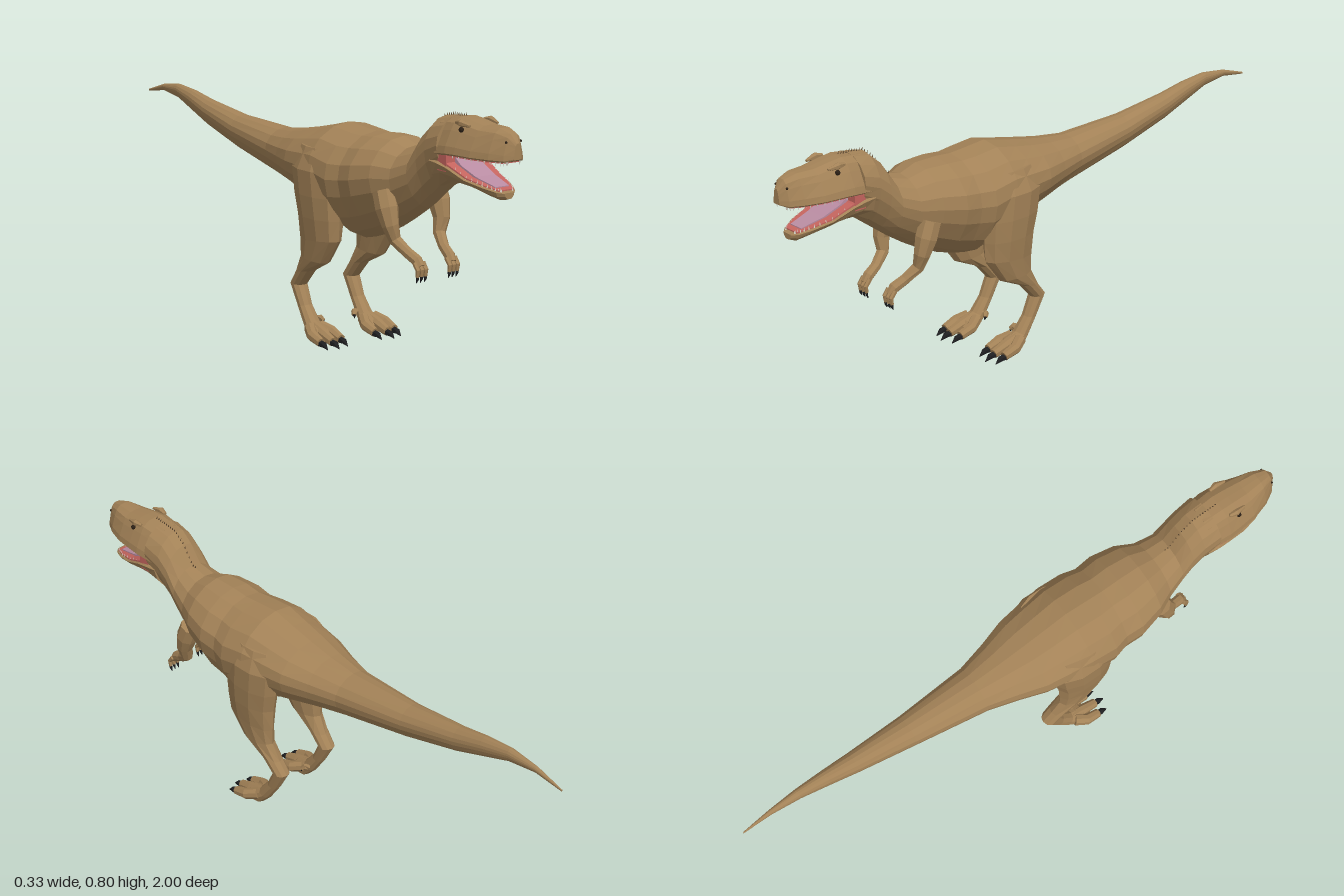
import * as THREE from 'three';

const mat = (name, color) => {
  const m = new THREE.MeshStandardMaterial({ color, flatShading: true });
  m.name = name;
  return m;
};

// Skin a list of equal-length rings, with caps; faces are turned outward by signed volume.
function loft(rings) {
  const tris = [], n = rings[0].length;
  for (let i = 0; i < rings.length - 1; i++)
    for (let j = 0; j < n; j++) {
      const k = (j + 1) % n, a = rings[i], b = rings[i + 1];
      tris.push([a[j], a[k], b[k]], [a[j], b[k], b[j]]);
    }
  const cap = (ring, flip) => {
    const c = ring.reduce((s, p) => s.add(p), new THREE.Vector3()).divideScalar(n);
    ring.forEach((p, j) => {
      const q = ring[(j + 1) % n];
      tris.push(flip ? [c, q, p] : [c, p, q]);
    });
  };
  cap(rings[0], true);
  cap(rings[rings.length - 1], false);
  let volume = 0;
  const o = rings[0][0], d = (p) => p.clone().sub(o);
  tris.forEach(([a, b, c]) => { volume += d(a).dot(d(b).cross(d(c))); });
  const pos = [];
  tris.forEach(([a, b, c]) => (volume < 0 ? [a, c, b] : [a, b, c]).forEach((p) => pos.push(p.x, p.y, p.z)));
  const g = new THREE.BufferGeometry();
  g.setAttribute('position', new THREE.Float32BufferAttribute(pos, 3));
  g.computeVertexNormals();
  return g;
}

// Symmetric rings along z: half profile (top to bottom, unit size) scaled by [z, top, bottom, halfWidth].
function sections(profile, list) {
  const outline = [...profile, ...profile.slice(1, -1).reverse().map(([x, y]) => [-x, y])];
  return loft(list.map(([z, top, bot, w]) =>
    outline.map(([x, y]) => new THREE.Vector3(x * w, bot + (top - bot) * y, z))));
}

// Limb along a path of [x, y, z, radius].
function limb(path, sides = 8) {
  const pts = path.map((p) => new THREE.Vector3(p[0], p[1], p[2]));
  return loft(pts.map((p, i) => {
    const t = pts[Math.min(i + 1, pts.length - 1)].clone().sub(pts[Math.max(i - 1, 0)]).normalize();
    const v = t.clone().cross(new THREE.Vector3(1, 0, 0)).normalize();
    const u = v.clone().cross(t);
    return Array.from({ length: sides }, (_, k) => {
      const a = ((k + 0.5) / sides) * Math.PI * 2;
      return p.clone().addScaledVector(u, Math.cos(a) * path[i][3]).addScaledVector(v, Math.sin(a) * path[i][3]);
    });
  }));
}

// Linear lookup in a section list: column c at position z.
function lookup(list, z, c) {
  let i = 0;
  while (i < list.length - 2 && list[i + 1][0] < z) i++;
  const a = list[i], b = list[i + 1];
  return a[c] + (b[c] - a[c]) * (z - a[0]) / (b[0] - a[0]);
}

export function createModel() {
  const model = new THREE.Group();
  const hide = mat('brown hide', 0xa38257), red = mat('mouth red', 0xc4645e), pink = mat('tongue mauve', 0xb98ca2);
  const black = mat('claw black', 0x1e1e20), ivory = mat('tooth ivory', 0xd6d2c6), dark = mat('eye dark', 0x2b2016);
  const spineMat = mat('spine brown', 0x5a4630);
  const add = (name, geometry, material, parent = model) => {
    const m = new THREE.Mesh(geometry, material);
    m.name = name;
    parent.add(m);
    return m;
  };

  // Tail, torso and neck
  const body = [
    [-1, .655, .648, .002], [-.9, .685, .662, .008], [-.8, .697, .648, .016], [-.7, .687, .612, .025],
    [-.6, .668, .577, .034], [-.4, .642, .525, .052], [-.15, .633, .475, .08], [-.05, .645, .455, .108],
    [.04, .662, .435, .138], [.12, .68, .41, .15], [.2, .7, .375, .16], [.29, .693, .345, .162],
    [.34, .69, .357, .148], [.4, .695, .377, .153], [.48, .695, .415, .135], [.54, .675, .45, .105],
    [.6, .69, .49, .088], [.64, .75, .52, .084], [.68, .785, .55, .084], [.74, .794, .595, .087],
  ];
  add('body', sections([[0, 1], [.38, .97], [.72, .87], [.95, .72], [1, .58], [.93, .42], [.7, .22], [.38, .08], [0, 0]], body), hide);

  // Head and lower jaw
  const head = [
    [.71, .787, .68, .083], [.78, .796, .688, .09], [.82, .792, .69, .087], [.88, .783, .69, .079],
    [.94, .783, .69, .06], [.98, .772, .69, .037], [1, .745, .698, .014],
  ];
  add('upperHead', sections([[0, 1], [.3, .99], [.58, .86], [.72, .66], [.95, .25], [1, .05], [.92, 0], [0, 0]], head), hide);
  const jaw = [
    [.7, .67, .575, .082], [.74, .665, .6, .086], [.78, .655, .602, .083], [.85, .625, .597, .072],
    [.91, .612, .583, .056], [.95, .602, .574, .036], [.967, .598, .58, .018],
  ];
  add('lowerJaw', sections([[0, 1], [.88, 1], [1, .9], [.85, .45], [.5, .06], [0, 0]], jaw), hide);

  // Mouth lining, palate and tongue
  const slab = [[0, 1], [1, 1], [1, 0], [0, 0]];
  add('cheekLining', new THREE.BoxGeometry(.156, .06, .04), red).position.set(0, .667, .755);
  add('mouthFloor', sections(slab, [[.76, .676, .65, .078], [.78, .659, .645, .076], [.85, .629, .62, .064],
    [.91, .615, .608, .048], [.953, .605, .598, .028]]), red);
  add('palate', sections(slab, [[.76, .692, .686, .08], [.82, .692, .686, .077], [.88, .692, .686, .069],
    [.94, .692, .686, .05], [.975, .692, .686, .03]]), red);
  add('tongue', sections(slab, [[.765, .69, .65, .046], [.782, .672, .645, .044], [.8, .656, .64, .042],
    [.86, .631, .622, .036], [.935, .612, .604, .025]]), pink);

  // Teeth along both lips
  const teeth = new THREE.Group();
  teeth.name = 'teeth';
  model.add(teeth);
  const tooth = new THREE.ConeGeometry(.0035, .014, 4);
  for (const s of [-1, 1])
    for (let i = 0; i < 12; i++) {
      const zu = .81 + .178 * Math.sin((i / 11) * Math.PI / 2);
      const up = add('upperTooth', tooth, ivory, teeth);
      up.position.set(s * (lookup(head, zu, 3) * .92 - .003), .685, zu - .006);
      up.rotation.x = Math.PI;
      const zl = .81 + .15 * Math.sin((i / 11) * Math.PI / 2);
      add('lowerTooth', tooth, ivory, teeth)
        .position.set(s * (lookup(jaw, zl, 3) * .9 - .002), lookup(jaw, zl, 1) + .005, zl - .004);
    }

  // Row of small spines down the nape
  for (let i = 0; i < 20; i++) {
    const z = .585 + i * .0098;
    const spine = add('napeSpine', new THREE.ConeGeometry(.004, .016, 4), spineMat);
    spine.position.set(0, lookup(z < .74 ? body : head, z, 1) + .002, z);
    spine.rotation.x = -.4;
  }

  for (const s of [-1, 1]) {
    const side = s > 0 ? 'left' : 'right';
    const part = (name, path, material = hide, sides = 8) =>
      add(side + name, limb(path.map(([x, y, z, r]) => [s * x, y, z, r]), sides), material);

    // Brow, eye and nostril
    part('Brow', [[.052, .782, .79, .006], [.056, .784, .815, .011], [.052, .779, .85, .004]], hide, 6);
    const eye = add(side + 'Eye', new THREE.SphereGeometry(.008, 8, 6), dark);
    eye.position.set(s * .061, .766, .822);
    const nostril = add(side + 'Nostril', new THREE.SphereGeometry(.004, 6, 4), dark);
    nostril.position.set(s * .027, .748, .98);

    // Leg: rings given by front [z, y], back [z, y], inner x and outer x
    const leg = [
      [.27, .63, .1, .63, .06, .14], [.295, .56, .075, .56, .06, .168], [.302, .48, .085, .48, .06, .166],
      [.3, .41, .1, .41, .06, .16], [.295, .345, .105, .33, .07, .15], [.235, .265, .107, .275, .075, .143],
      [.15, .225, .078, .215, .075, .136], [.1, .17, .046, .173, .076, .132], [.128, .11, .085, .1, .08, .128],
      [.165, .066, .125, .04, .076, .132], [.205, .052, .16, .003, .07, .14], [.22, .035, .205, .003, .075, .135],
    ];
    add(side + 'Leg', loft(leg.map(([zf, yf, zb, yb, xi, xo]) => Array.from({ length: 10 }, (_, k) => {
      const a = (k / 10) * Math.PI * 2, f = (1 + Math.cos(a)) / 2;
      return new THREE.Vector3(s * ((xi + xo) / 2 + Math.sin(a) * (xo - xi) / 2), yb + (yf - yb) * f, zb + (zf - zb) * f);
    }))), hide);

    // Three toes with claws, and a small rear toe
    for (const [x, z] of [[.067, -.012], [.108, 0], [.144, -.012]]) {
      const mid = (x + .106) / 2;
      part('Toe', [[mid, .045, .165, .02], [x, .032, .215 + z, .019], [x, .019, .262 + z, .015]]);
      part('ToeClaw', [[x, .016, .255 + z, .012], [x, .015, .277 + z, .01], [x, .003, .298 + z, .001]], black, 6);
    }
    part('RearToe', [[.08, .062, .135, .012], [.067, .065, .14, .011], [.061, .055, .147, .008]], hide, 6);
    part('RearClaw', [[.062, .057, .146, .006], [.061, .045, .15, .001]], black, 6);

    // Arm, fingers and finger claws
    part('Arm', [[.098, .54, .505, .035], [.1, .49, .525, .036], [.098, .44, .541, .027], [.085, .395, .547, .02],
      [.07, .362, .588, .017], [.062, .343, .625, .018], [.06, .325, .64, .014]]);
    for (const x of [.046, .061, .076]) {
      part('Finger', [[x, .338, .632, .008], [x, .318, .648, .0075], [x, .298, .645, .006]], hide, 6);
      part('FingerClaw', [[x, .302, .646, .0055], [x, .29, .645, .0045], [x, .278, .64, .0008]], black, 6);
    }
  }
  return model;
}
